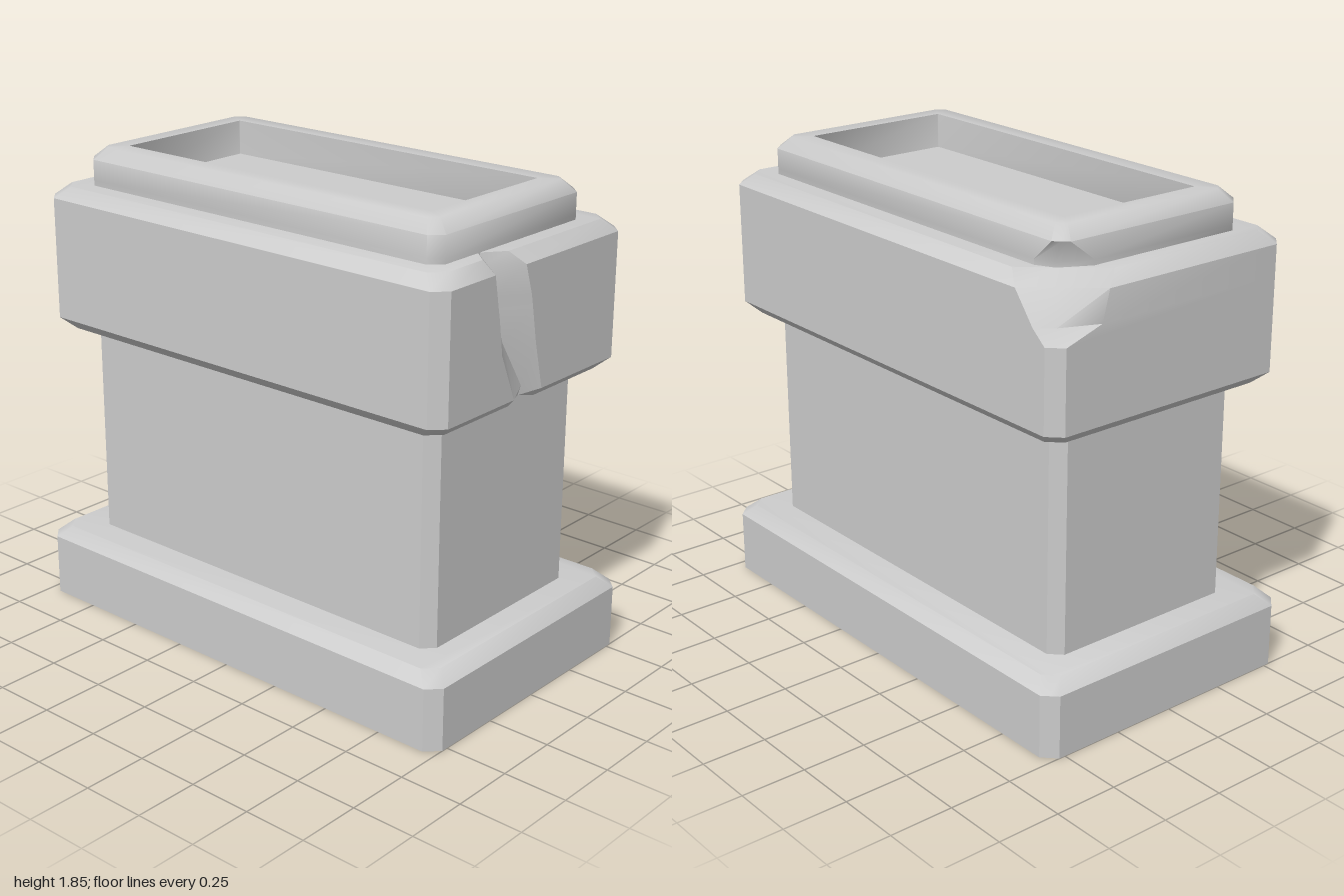
import * as THREE from 'three';
import { toCreasedNormals } from 'three/addons/utils/BufferGeometryUtils.js';

const material = new THREE.MeshStandardMaterial({ color: 0xcccccc });

// Horizontal section: a rectangle with cut corners, as [x, z] points.
// notch = [zBack, zValley, xValley, zFront] on the +x side.
// chip = [zSide, xMid, zMid, xBack] replaces the corner at -x, -z.
function ring(y, hx, hz, c, { notch, chip } = {}) {
  const points = [[hx, c - hz]];
  if (notch) points.push([hx, notch[0]], [notch[2], notch[1]], [hx, notch[3]]);
  points.push([hx, hz - c], [hx - c, hz], [c - hx, hz], [-hx, hz - c]);
  const [zSide, xMid, zMid, xBack] = chip || [c - hz, c / 2 - hx, c / 2 - hz, c - hx];
  points.push([-hx, zSide], [xMid, zMid], [xBack, -hz], [hx - c, -hz]);
  return { y, points };
}

// Joins the sections in order and closes both ends.
function loft(name, rings, crease = 0.6) {
  const pos = [];
  const tri = (...corners) => corners.forEach((p) => pos.push(...p));
  const at = (r, i) => {
    const [x, z] = r.points[i % r.points.length];
    return [x, r.y, z];
  };
  for (let k = 0; k < rings.length - 1; k++) {
    const a = rings[k], b = rings[k + 1];
    for (let i = 0; i < a.points.length; i++) {
      tri(at(a, i), at(b, i), at(a, i + 1));
      tri(at(b, i), at(b, i + 1), at(a, i + 1));
    }
  }
  const cap = (r, up) => {
    const flat = r.points.map(([x, z]) => new THREE.Vector2(x, z));
    for (const [i, j, k] of THREE.ShapeUtils.triangulateShape(flat, [])) {
      const facesDown = THREE.ShapeUtils.area([flat[i], flat[j], flat[k]]) > 0;
      if (facesDown === up) tri(at(r, i), at(r, k), at(r, j));
      else tri(at(r, i), at(r, j), at(r, k));
    }
  };
  cap(rings[0], false);
  cap(rings[rings.length - 1], true);
  const geometry = new THREE.BufferGeometry();
  geometry.setAttribute('position', new THREE.Float32BufferAttribute(pos, 3));
  const mesh = new THREE.Mesh(toCreasedNormals(geometry, crease), material);
  mesh.name = name;
  return mesh;
}

export function createModel() {
  const group = new THREE.Group();
  group.name = 'pedestal';

  // Foot slab with a bevelled top edge
  group.add(loft('base', [
    ring(0, 1, 0.575, 0.05),
    ring(0.245, 1, 0.575, 0.05),
    ring(0.29, 0.95, 0.53, 0.05),
  ]));

  group.add(loft('shaft', [
    ring(0.28, 0.85, 0.42, 0.045),
    ring(1.15, 0.85, 0.42, 0.045),
  ]));

  // Wide collar with a slanting crack on one end and a chipped corner
  group.add(loft('collar', [
    ring(1.135, 0.91, 0.49, 0.05, { notch: [-0.07, -0.03, 0.87, 0.08] }),
    ring(1.18, 0.96, 0.535, 0.05, { notch: [-0.045, -0.02, 0.89, 0.117] }),
    ring(1.36, 0.96, 0.535, 0.05, { notch: [0, 0.085, 0.88, 0.195] }),
    ring(1.49, 0.96, 0.535, 0.05, { notch: [0.025, 0.13, 0.875, 0.215] }),
    ring(1.54, 0.96, 0.535, 0.05, {
      notch: [0.035, 0.145, 0.87, 0.225], chip: [-0.33, -0.9, -0.475, -0.85],
    }),
    ring(1.655, 0.96, 0.535, 0.05, {
      notch: [0.073, 0.18, 0.86, 0.247], chip: [-0.3, -0.85, -0.425, -0.76],
    }),
    ring(1.7, 0.91, 0.49, 0.05, {
      notch: [0.11, 0.195, 0.845, 0.255], chip: [-0.235, -0.79, -0.385, -0.69],
    }),
  ]));

  // Soft-edged rim around a shallow recess, chipped at its foot
  const rimChip = { chip: [-0.27, -0.79, -0.385, -0.72] };
  group.add(loft('hollowRim', [
    ring(1.69, 0.85, 0.42, 0.045, rimChip),
    ring(1.72, 0.85, 0.42, 0.045, rimChip),
    ring(1.8, 0.85, 0.42, 0.045),
    ring(1.845, 0.8, 0.375, 0.03),
    ring(1.845, 0.73, 0.302, 0.002),
    ring(1.71, 0.73, 0.302, 0.002),
  ], 0.9));

  return group;
}
